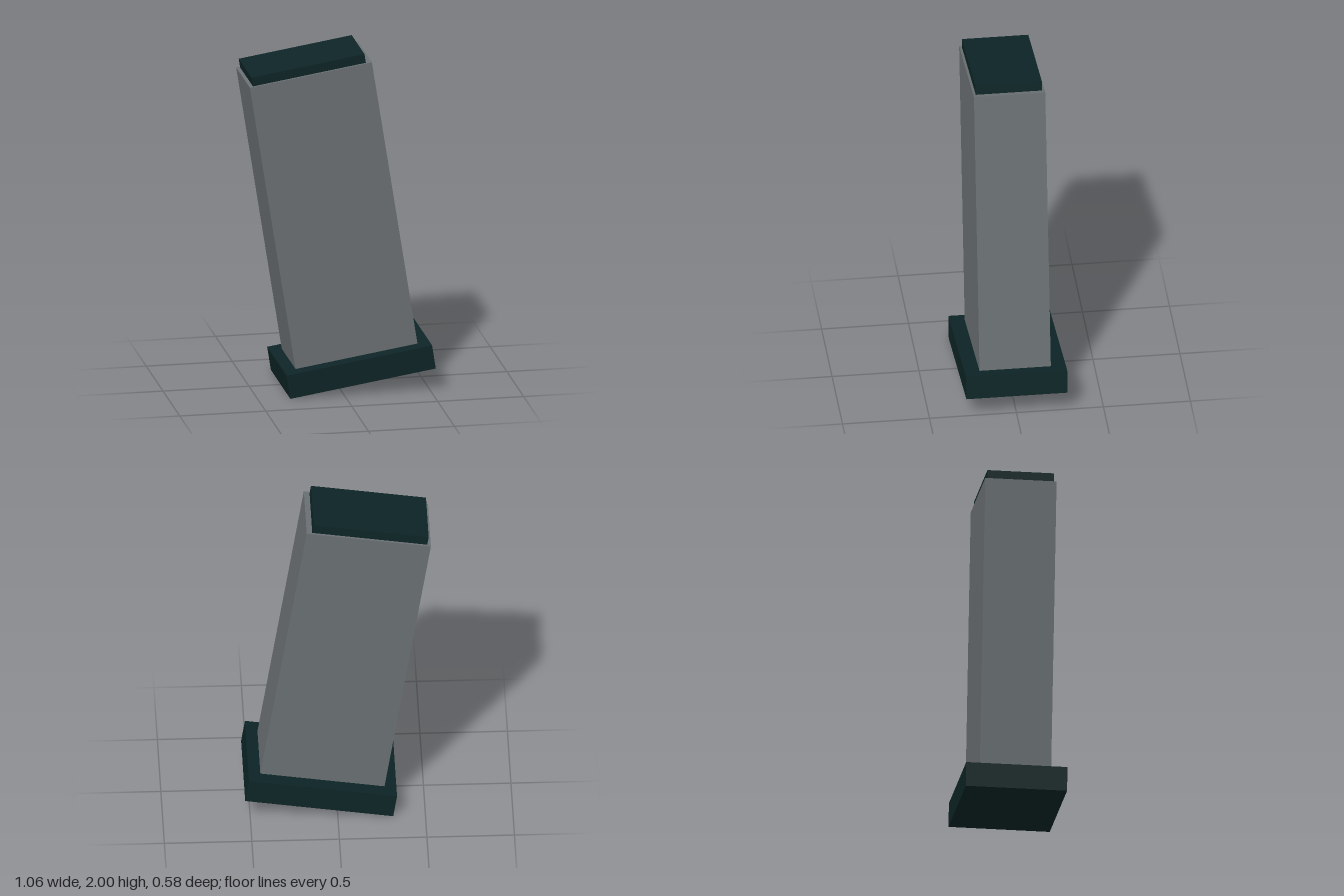
import * as THREE from 'three';

export function createModel() {
  const darkTeal = new THREE.MeshStandardMaterial({ name: 'darkTeal', color: 0x0d2426 });
  const grey = new THREE.MeshStandardMaterial({ name: 'grey', color: 0x6a7073 });

  // Everything stacks along one leaning axis
  const column = new THREE.Group();
  column.name = 'leaningColumn';
  column.rotation.z = THREE.MathUtils.degToRad(8.9);
  column.position.set(0.107, 0.066, 0);

  const addBlock = (name, material, width, depth, bottom, top, x = 0) => {
    const mesh = new THREE.Mesh(new THREE.BoxGeometry(width, top - bottom, depth), material);
    mesh.name = name;
    mesh.position.set(x, (bottom + top) / 2, 0);
    column.add(mesh);
  };

  addBlock('base', darkTeal, 0.856, 0.582, 0, 0.141);
  addBlock('shaft', grey, 0.718, 0.41, 0.141, 1.854);
  addBlock('cap', darkTeal, 0.665, 0.382, 1.854, 1.907, -0.006);

  const model = new THREE.Group();
  model.name = 'model';
  model.add(column);
  return model;
}
